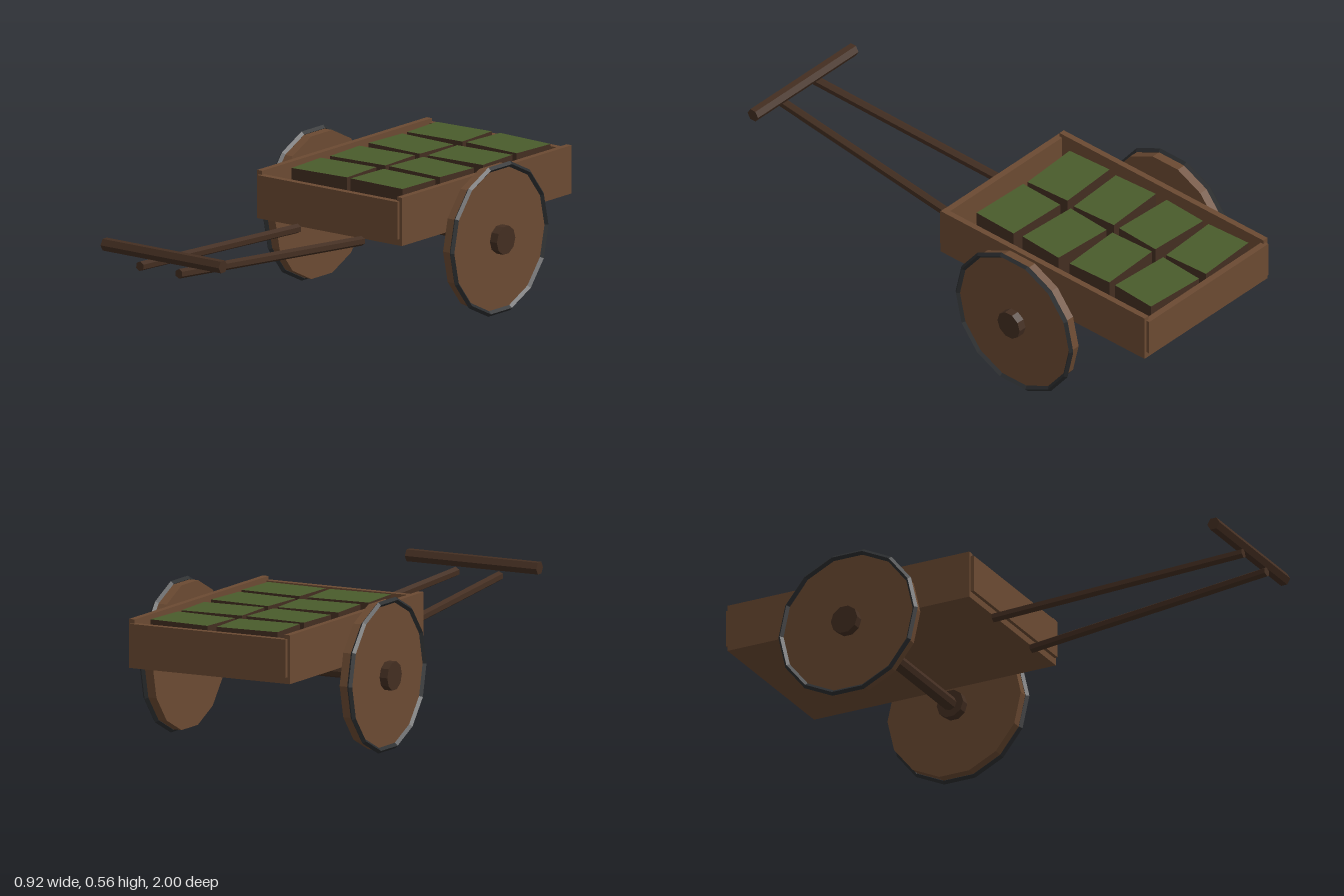
import * as THREE from 'three';

const material = (color) => new THREE.MeshStandardMaterial({ color, flatShading: true });

export function createModel() {
  const cart = new THREE.Group();
  cart.name = 'handcart';
  const wood = material(0x6b4a32);
  const darkWood = material(0x432e21);
  const iron = material(0x2b2d2f);
  const crop = material(0x4a5c2c);

  const add = (name, geometry, mat, x, y, z, parent = cart) => {
    const mesh = new THREE.Mesh(geometry, mat);
    mesh.name = name;
    mesh.position.set(x, y, z);
    parent.add(mesh);
    return mesh;
  };
  const box = (name, mat, w, h, d, x, y, z) => add(name, new THREE.BoxGeometry(w, h, d), mat, x, y, z);

  // Straight pole between two points
  const pole = (name, a, b, radius, sides) => {
    const dir = b.clone().sub(a);
    const mid = a.clone().add(b).multiplyScalar(0.5);
    const mesh = add(name, new THREE.CylinderGeometry(radius, radius, dir.length(), sides), darkWood, mid.x, mid.y, mid.z);
    mesh.quaternion.setFromUnitVectors(new THREE.Vector3(0, 1, 0), dir.normalize());
    return mesh;
  };

  // Cylinder lying along x, with a corner pointing to +z
  const xCylinder = (radius, length, sides) =>
    new THREE.CylinderGeometry(radius, radius, length, sides).rotateZ(Math.PI / 2);

  // Bed: floor, side walls and slightly lower end boards
  const bedZ = -0.49;
  box('floor', wood, 0.65, 0.035, 0.99, 0, 0.3425, bedZ);
  for (const s of [1, -1]) {
    box('sideWall', wood, 0.023, 0.18, 0.99, s * 0.322, 0.415, bedZ);
    box('endBoard', wood, 0.646, 0.14, 0.025, 0, 0.42, bedZ + s * 0.4955);
  }

  // Planted trays, each turned a little
  const turns = [[0.055, -0.06], [-0.05, 0.05], [0.06, -0.06], [0.06, -0.03]];
  turns.forEach((pair, row) => pair.forEach((turn, col) => {
    const tray = box('tray', [darkWood, darkWood, crop, darkWood, darkWood, darkWood],
      0.245, 0.145, 0.185, col ? 0.135 : -0.137, 0.4325, -0.868 + row * 0.2245);
    tray.rotation.y = turn;
  }));

  // Axle and wheels
  const wheelY = 0.279, wheelZ = -0.44;
  add('axle', xCylinder(0.027, 0.8, 8), darkWood, 0, wheelY, wheelZ);
  for (const s of [1, -1]) {
    const wheel = new THREE.Group();
    wheel.name = s > 0 ? 'leftWheel' : 'rightWheel';
    wheel.position.set(0, wheelY, wheelZ);
    cart.add(wheel);
    add('disc', xCylinder(0.273, 0.043, 14), wood, s * 0.4085, 0, 0, wheel);
    add('tyre', new THREE.TorusGeometry(0.275, 0.0105, 4, 14).rotateY(Math.PI / 2), iron, s * 0.43, 0, 0, wheel);
    add('hub', xCylinder(0.054, 0.108, 10), darkWood, s * 0.408, 0, 0, wheel);
  }

  // Two converging shafts and the crossbar handle
  for (const s of [1, -1]) {
    pole('shaft', new THREE.Vector3(s * 0.148, 0.316, 0.005), new THREE.Vector3(s * 0.09, 0.381, 0.998), 0.018, 6);
  }
  add('handle', xCylinder(0.025, 0.545, 6), darkWood, 0, 0.43, 0.972);

  return cart;
}
